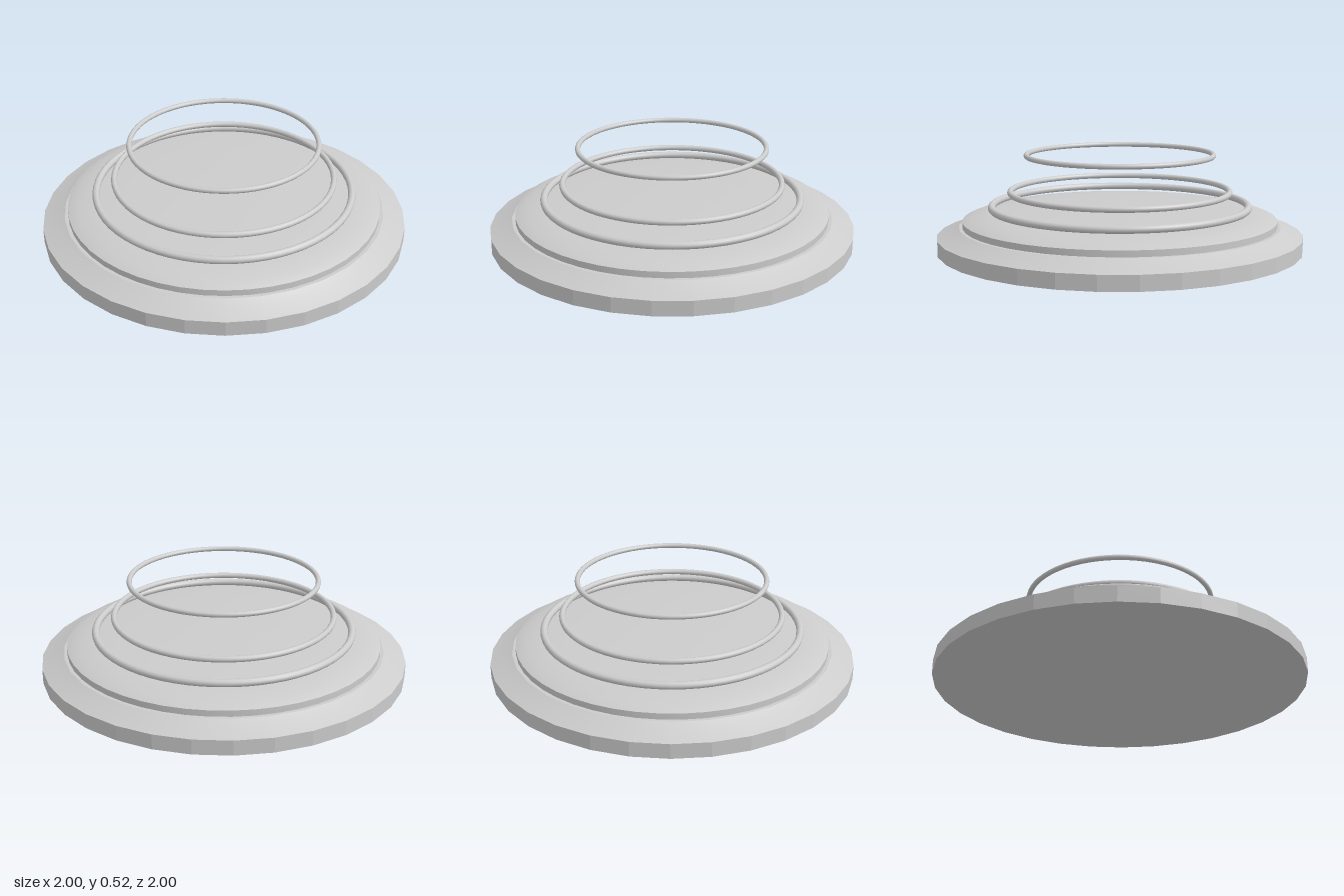
import * as THREE from 'three';
import { toCreasedNormals } from 'three/addons/utils/BufferGeometryUtils.js';

const material = new THREE.MeshStandardMaterial({ color: 0xcccccc });

// Turned part from [radius, height] pairs, bottom to top
function turned(name, profile, sides, crease) {
  const points = profile.map(([r, y]) => new THREE.Vector2(r, y));
  const geometry = toCreasedNormals(new THREE.LatheGeometry(points, sides), crease);
  const mesh = new THREE.Mesh(geometry, material);
  mesh.name = name;
  return mesh;
}

// Horizontal floating ring
function ring(name, radius, tube, y) {
  const geometry = new THREE.TorusGeometry(radius, tube, 12, 64);
  geometry.rotateX(Math.PI / 2);
  const mesh = new THREE.Mesh(geometry, material);
  mesh.name = name;
  mesh.position.y = y;
  return mesh;
}

export function createModel() {
  const group = new THREE.Group();
  group.name = 'ringedPedestal';

  // Faceted foot with a sloping shoulder
  group.add(turned('base', [
    [0, 0], [1, 0], [1, 0.08], [0.92, 0.11], [0.88, 0.13], [0, 0.13],
  ], 32, 0.15));

  // Stepped disc with a shallow domed top
  group.add(turned('upperDisc', [
    [0, 0.12], [0.86, 0.12], [0.86, 0.163], [0.81, 0.182],
    [0.7, 0.193], [0.5, 0.202], [0.25, 0.208], [0, 0.21],
  ], 48, 0.5));

  // Three rings, narrowing upward
  group.add(ring('lowerRing', 0.702, 0.02, 0.23));
  group.add(ring('middleRing', 0.6, 0.016, 0.31));
  group.add(ring('upperRing', 0.51, 0.014, 0.51));

  return group;
}
